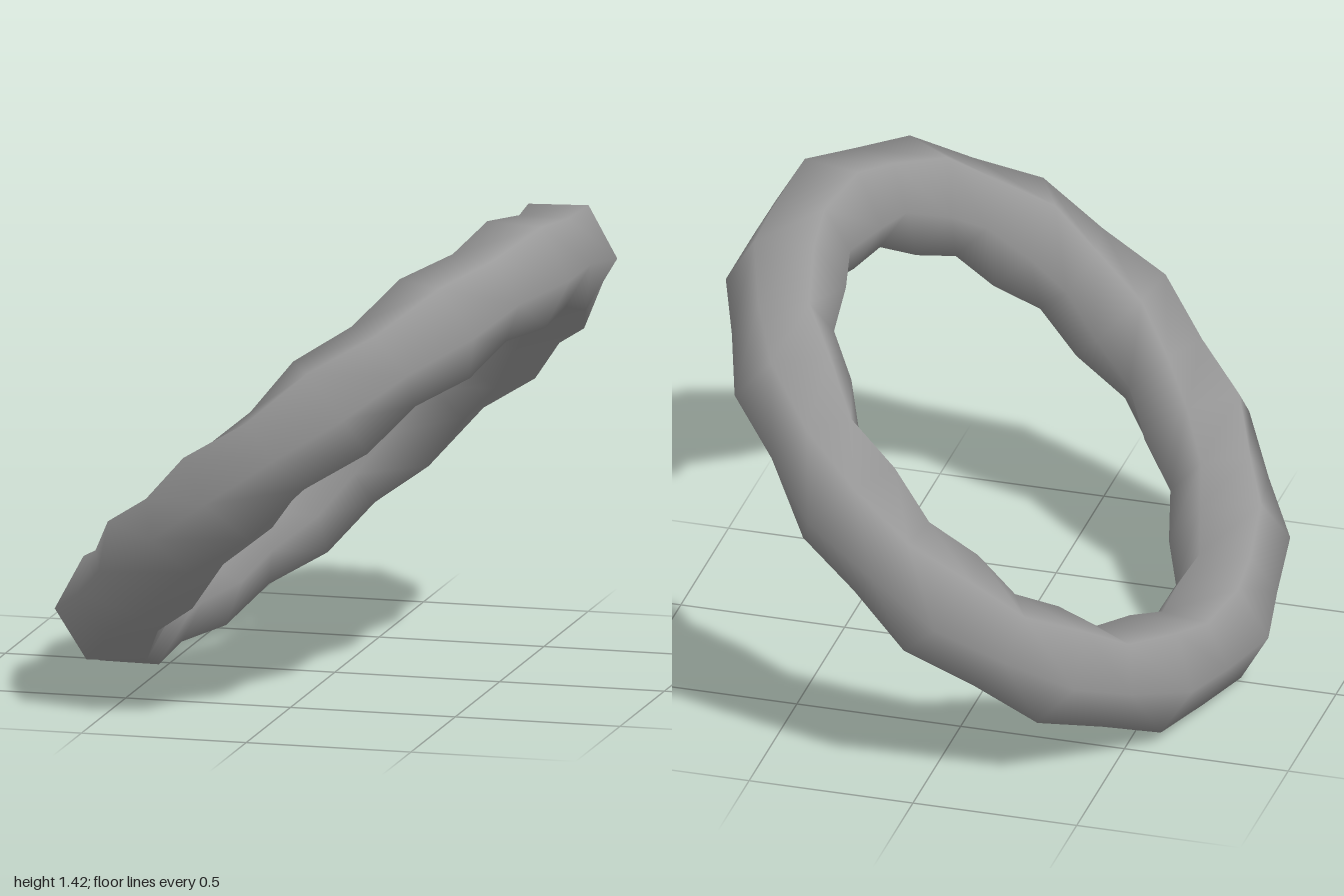
import * as THREE from 'three';

const RINGS = 26, SIDES = 6;               // cross-sections round the loop, corners per section
const RADIUS = 0.833, WIDE = 0.178, NARROW = 0.15;

export function createModel() {
  const group = new THREE.Group();
  group.name = 'tiltedRing';
  const grey = new THREE.MeshStandardMaterial({ color: 0x999999 });
  grey.name = 'grey';

  // Axes of the leaning ring plane
  const tilt = THREE.MathUtils.degToRad(42);
  const e1 = new THREE.Vector3(Math.cos(tilt), Math.sin(tilt), 0);
  const normal = new THREE.Vector3(-Math.sin(tilt), Math.cos(tilt), -0.085).normalize();
  const e2 = new THREE.Vector3().crossVectors(normal, e1);
  const worldUp = new THREE.Vector3(0, 1, 0);

  // Hexagonal sections, each kept level with the ground, alternately narrow and wide
  const positions = [];
  for (let i = 0; i < RINGS; i++) {
    const theta = (i / RINGS) * Math.PI * 2 + 0.02;
    const r = i % 2 ? WIDE : NARROW;
    const outward = e1.clone().multiplyScalar(Math.cos(theta)).addScaledVector(e2, Math.sin(theta));
    const tangent = new THREE.Vector3().crossVectors(normal, outward);
    const side = new THREE.Vector3().crossVectors(tangent, worldUp).normalize();
    const up = new THREE.Vector3().crossVectors(side, tangent);
    for (let j = 0; j < SIDES; j++) {
      const phi = (j / SIDES) * Math.PI * 2;
      const p = outward.clone().multiplyScalar(RADIUS)
        .addScaledVector(side, r * Math.cos(phi))
        .addScaledVector(up, r * Math.sin(phi));
      positions.push(p.x, p.y, p.z);
    }
  }

  // Two triangles for each patch between neighbouring sections
  const index = [];
  const at = (i, j) => (i % RINGS) * SIDES + (j % SIDES);
  for (let i = 0; i < RINGS; i++) {
    for (let j = 0; j < SIDES; j++) {
      const a = at(i, j), a1 = at(i, j + 1), b = at(i + 1, j), b1 = at(i + 1, j + 1);
      index.push(a, b, a1, b, b1, a1);
    }
  }

  const geometry = new THREE.BufferGeometry();
  geometry.setAttribute('position', new THREE.Float32BufferAttribute(positions, 3));
  geometry.setIndex(index);
  geometry.computeVertexNormals();

  // Centre the ring and stand it on the ground
  geometry.center();
  geometry.computeBoundingBox();
  geometry.translate(0, -geometry.boundingBox.min.y, 0);

  const ring = new THREE.Mesh(geometry, grey);
  ring.name = 'ring';
  group.add(ring);
  return group;
}
